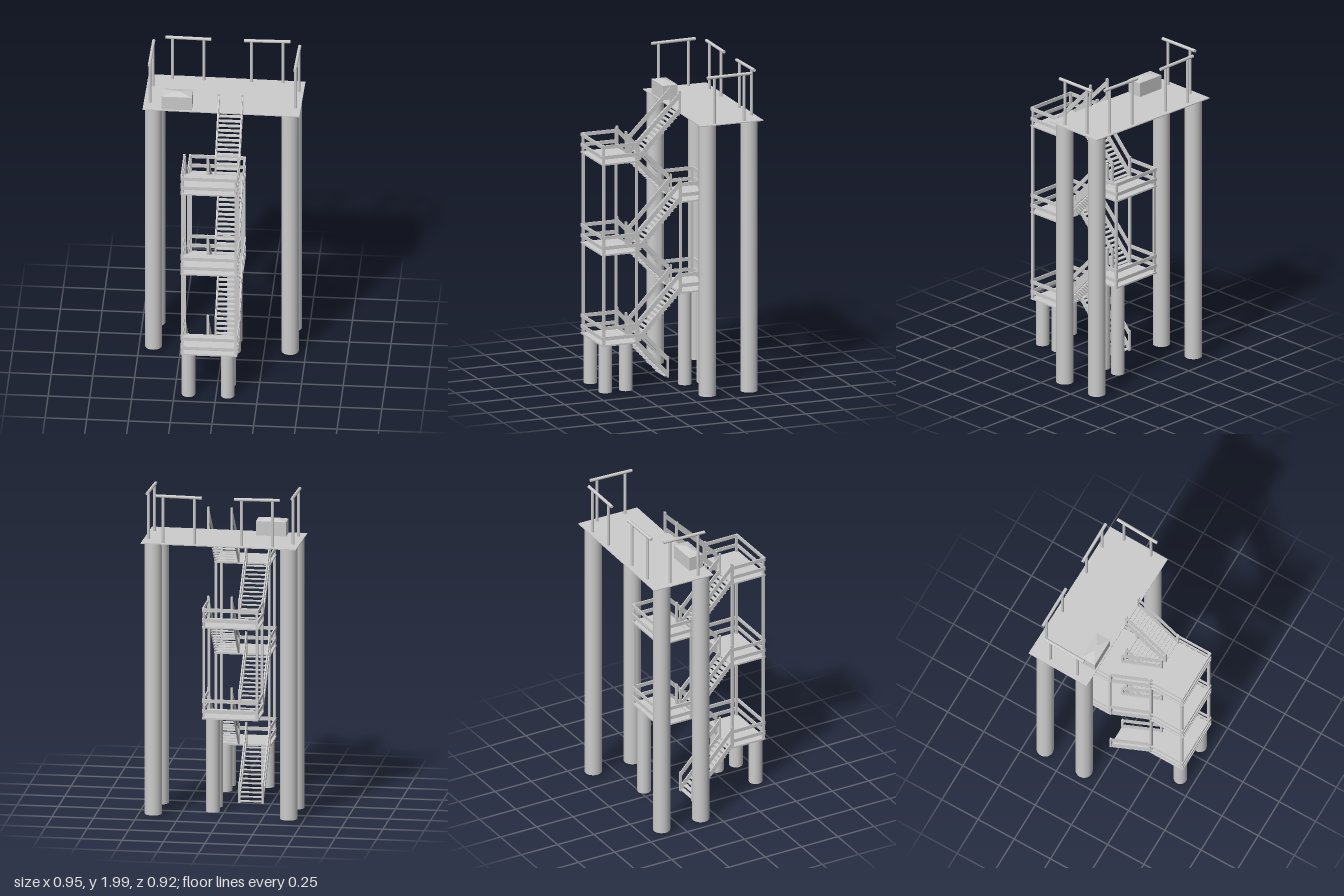
import * as THREE from 'three';

const mat = new THREE.MeshStandardMaterial({ color: 0xcccccc, side: THREE.DoubleSide });

export function createModel() {
  const model = new THREE.Group();
  model.name = 'stairTower';

  const group = (name) => {
    const g = new THREE.Group();
    g.name = name;
    model.add(g);
    return g;
  };
  const add = (parent, name, geo, x = 0, y = 0, z = 0) => {
    const m = new THREE.Mesh(geo, mat);
    m.name = name;
    m.position.set(x, y, z);
    parent.add(m);
    return m;
  };
  // Box given by its lower and upper corners
  const box = (parent, name, x0, x1, y0, y1, z0, z1) =>
    add(parent, name, new THREE.BoxGeometry(x1 - x0, y1 - y0, z1 - z0),
      (x0 + x1) / 2, (y0 + y1) / 2, (z0 + z1) / 2);
  // Square upright
  const post = (parent, name, x, z, y0, y1, w = 0.013) =>
    box(parent, name, x - w / 2, x + w / 2, y0, y1, z - w / 2, z + w / 2);
  // Upright cylinder
  const pillar = (parent, name, x, z, y0, y1, r, sides = 28) =>
    add(parent, name, new THREE.CylinderGeometry(r, r, y1 - y0, sides), x, (y0 + y1) / 2, z);
  // Round bar between two points
  const bar = (parent, name, a, b, r) => {
    const d = b.clone().sub(a);
    const m = add(parent, name, new THREE.CylinderGeometry(r, r, d.length(), 16));
    m.position.copy(a).add(b).multiplyScalar(0.5);
    m.quaternion.setFromUnitVectors(new THREE.Vector3(0, 1, 0), d.normalize());
  };
  // Inclined flat rail along z with plumb-cut ends
  const slopedRail = (parent, name, x, y0, z0, y1, z1, h, w) => {
    const geo = new THREE.BoxGeometry(w, h, Math.abs(z1 - z0));
    const p = geo.attributes.position;
    const slope = (y1 - y0) / (z1 - z0);
    for (let i = 0; i < p.count; i++) p.setY(i, p.getY(i) + p.getZ(i) * slope);
    geo.computeVertexNormals();
    add(parent, name, geo, x, (y0 + y1) / 2, (z0 + z1) / 2);
  };

  // Top deck, slightly out of square
  const TOP = 1.7;
  const outline = new THREE.Shape(
    [[-0.475, 0.055], [0.466, 0.04], [0.473, 0.442], [-0.468, 0.46]].map(([x, y]) => new THREE.Vector2(x, y)));
  const deckGeo = new THREE.ExtrudeGeometry(outline, { depth: 0.006, bevelEnabled: false });
  deckGeo.rotateX(-Math.PI / 2);
  add(model, 'topDeck', deckGeo, 0, TOP - 0.004, 0);

  // Main columns
  const columns = group('mainColumns');
  for (const x of [-0.413, 0.406])
    for (const z of [-0.108, -0.377]) pillar(columns, 'mainColumn', x, z, 0.02, TOP - 0.002, 0.052);

  // Guard rails on the top deck
  const guards = group('deckGuardRails');
  const guard = (ax, az, bx, bz) => {
    const a = new THREE.Vector3(ax, 1.99, az), b = new THREE.Vector3(bx, 1.986, bz);
    bar(guards, 'guardBar', a, b, 0.01);
    for (const t of [0.16, 0.84]) {
      const p = a.clone().lerp(b, t);
      pillar(guards, 'guardPost', p.x, p.z, TOP, 1.985, 0.009, 16);
    }
  };
  guard(-0.365, -0.42, -0.09, -0.42);
  guard(0.385, -0.42, 0.107, -0.42);
  guard(-0.431, -0.375, -0.437, -0.095);
  guard(0.444, -0.375, 0.435, -0.095);

  // Equipment box with a shallow hipped lid
  const unit = group('equipmentBox');
  box(unit, 'boxBody', -0.363, -0.18, TOP, 1.79, -0.157, -0.063);
  const lid = new THREE.BoxGeometry(0.183, 0.014, 0.094);
  const lp = lid.attributes.position;
  for (let i = 0; i < lp.count; i++)
    if (lp.getY(i) > 0) { lp.setX(i, lp.getX(i) * 0.25); lp.setZ(i, lp.getZ(i) * 0.1); }
  lid.computeVertexNormals();
  add(unit, 'boxLid', lid, -0.2715, 1.797, -0.11);

  // Landings: rails on three sides, open towards the flights
  const X0 = -0.211, X1 = 0.13;
  const landing = (name, y, zIn, zOut) => {
    const g = group(name);
    const s = Math.sign(zOut - zIn), zA = Math.min(zIn, zOut), zB = Math.max(zIn, zOut);
    box(g, 'landingFloor', X0, X1, y - 0.006, y + 0.004, zA, zB);
    for (const h of [0.043, 0.107]) {
      const lo = y + h - 0.011, hi = y + h + 0.011;
      box(g, 'endRail', X0, X1, lo, hi, zOut - s * 0.004 - 0.004, zOut - s * 0.004 + 0.004);
      for (const x of [X0 + 0.004, X1 - 0.004]) box(g, 'sideRail', x - 0.004, x + 0.004, lo, hi, zA, zB);
    }
    for (const x of [X0 + 0.01, X1 - 0.01]) {
      post(g, 'railPost', x, zIn + s * 0.007, y, y + 0.128);
      post(g, 'railPost', x, zOut - s * 0.012, y, y + 0.118);
    }
  };
  const FRONT = [0.31, 0.87, 1.43], BACK = [0.59, 1.15];
  const ZF = 0.225, ZB = -0.045;
  FRONT.forEach((y) => landing('frontLanding', y, ZF, 0.457));
  BACK.forEach((y) => landing('backLanding', y, ZB, -0.27));

  // Slim uprights that tie the landings together
  const uprights = group('landingUprights');
  for (const x of [X0 + 0.01, X1 - 0.01]) {
    for (const z of [ZF + 0.007, 0.445]) post(uprights, 'frontUpright', x, z, FRONT[0], FRONT[2], 0.015);
    for (const z of [ZB - 0.007, -0.258]) post(uprights, 'backUpright', x, z, BACK[0], BACK[1], 0.015);
  }

  // Stout pillars under the lowest landings
  const pillars = group('landingPillars');
  for (const [x, z] of [[-0.165, 0.413], [0.07, 0.413], [0.07, 0.282]])
    pillar(pillars, 'frontPillar', x, z, 0.01, FRONT[0], 0.041);
  for (const z of [-0.1, -0.22]) pillar(pillars, 'backPillar', 0.07, z, 0.008, BACK[0], 0.041);

  // Stair flights: open treads between two railed sides
  const STEPS = 13;
  const flight = (x0, x1, y0, z0, y1, z1) => {
    const g = group('stairFlight');
    for (let i = 0; i < STEPS; i++) {
      const t = (i + 0.5) / STEPS;
      const y = y0 + (y1 - y0) * t, z = z0 + (z1 - z0) * t;
      box(g, 'tread', x0, x1, y - 0.004, y + 0.001, z - 0.0125, z + 0.0125);
    }
    for (const x of [x0, x1]) {
      slopedRail(g, 'stringer', x, y0 + 0.018, z0, y1 + 0.018, z1, 0.04, 0.008);
      slopedRail(g, 'handRail', x, y0 + 0.112, z0, y1 + 0.112, z1, 0.036, 0.008);
      post(g, 'newelPost', x, z0, y0, y0 + 0.13);
      post(g, 'newelPost', x, z1, y1, y1 + 0.138);
    }
  };
  const levels = [0.02, 0.31, 0.59, 0.87, 1.15, 1.43, TOP];
  for (let i = 0; i < 6; i++) {
    const up = i % 2 === 0;
    const [x0, x1] = up ? [-0.204, -0.063] : [-0.017, 0.124];
    flight(x0, x1, levels[i], up ? ZB : ZF, levels[i + 1], up ? ZF : ZB);
  }

  return model;
}
